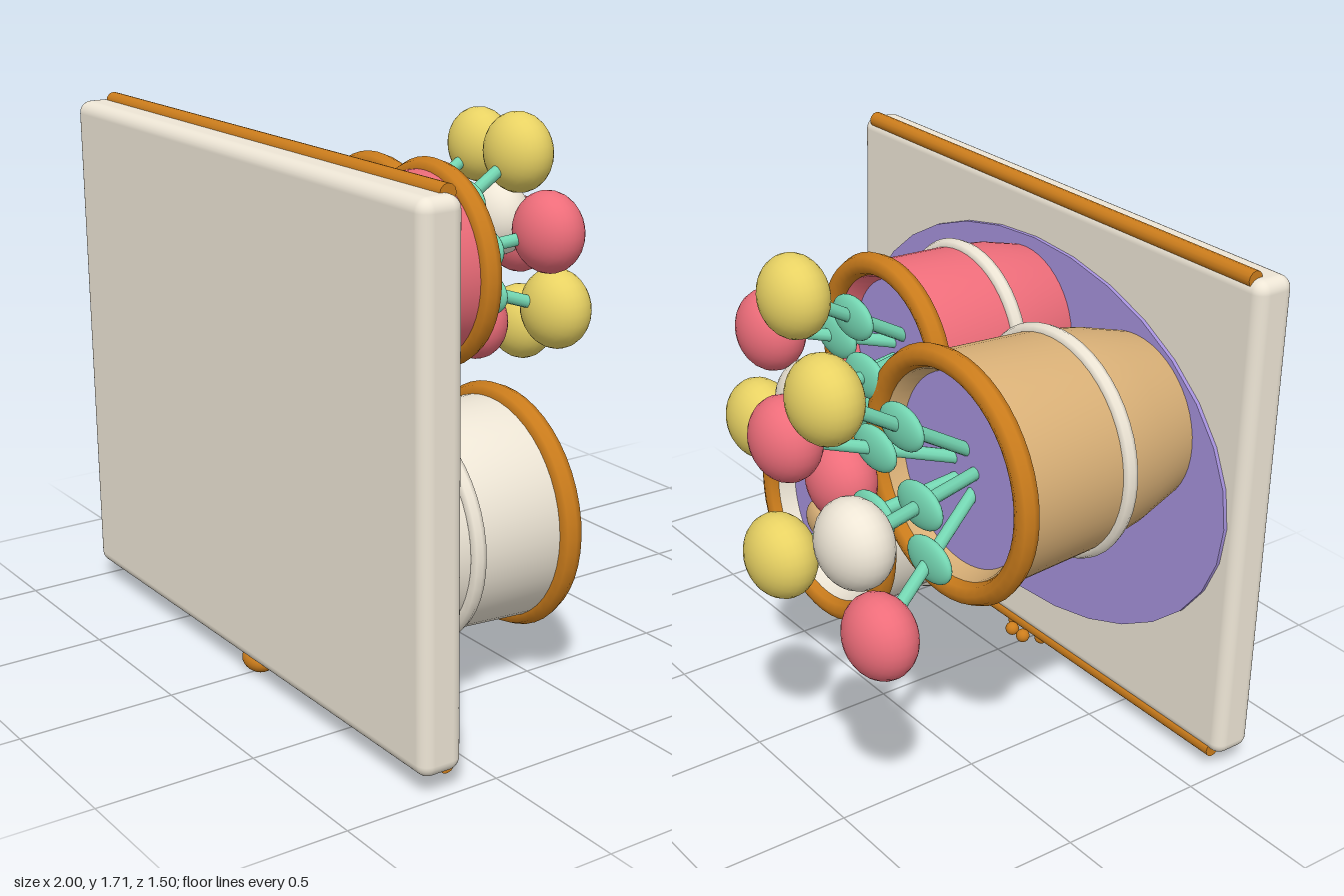
import * as THREE from 'three';
import { RoundedBoxGeometry } from 'three/addons/geometries/RoundedBoxGeometry.js';

const mat = (color, side = THREE.FrontSide) => new THREE.MeshStandardMaterial({ color, side });
const CREAM = 0xeee6d6, GOLD = 0xcc7d1c, TAN = 0xd9b077, PINK = 0xee6d7a;
const PURPLE = 0xa692dc, GREEN = 0x74d6b2, YELLOW = 0xe8d263;

function add(parent, name, geometry, color, pos = [0, 0, 0], side) {
  const mesh = new THREE.Mesh(geometry, mat(color, side));
  mesh.name = name;
  mesh.position.set(...pos);
  parent.add(mesh);
  return mesh;
}

function ellipsoid(parent, name, radii, color, pos) {
  add(parent, name, new THREE.SphereGeometry(1, 24, 16), color, pos).scale.set(...radii);
}

function ring(parent, name, radius, tube, color, height) {
  add(parent, name, new THREE.TorusGeometry(radius, tube, 8, 48).rotateX(Math.PI / 2), color, [0, height, 0]);
}

// Cylinder running from one point to another
function stem(parent, from, to) {
  const a = new THREE.Vector3(...from), b = new THREE.Vector3(...to);
  const dir = b.clone().sub(a);
  const mesh = add(parent, 'stem', new THREE.CylinderGeometry(0.021, 0.021, dir.length(), 10), GREEN,
    a.clone().add(b).multiplyScalar(0.5).toArray());
  mesh.quaternion.setFromUnitVectors(new THREE.Vector3(0, 1, 0), dir.normalize());
}

// A pot built upright along its own y, then tipped so that it stands out from the back of the panel
function makePot({ name, color, x, y, base, waist, waistHeight, top, height, flowers = [] }) {
  const pot = new THREE.Group();
  pot.name = name;
  pot.position.set(x, y, 0.605);
  pot.rotation.x = -Math.PI / 2;

  const soilHeight = height - 0.055;
  const profile = [
    [base, 0], [(base + waist) / 2 + 0.01, waistHeight / 2], [waist, waistHeight],
    [top, height], [top - 0.045, height], [top - 0.07, soilHeight - 0.02],
  ].map(([r, h]) => new THREE.Vector2(r, h));
  add(pot, 'potBody', new THREE.LatheGeometry(profile, 48), color, [0, 0, 0], THREE.DoubleSide);
  ring(pot, 'potRim', top - 0.003, 0.037, GOLD, height);
  ring(pot, 'potBand', waist, 0.025, CREAM, waistHeight);
  add(pot, 'soil', new THREE.CylinderGeometry(top - 0.063, top - 0.063, 0.03, 40), PURPLE, [0, soilHeight - 0.015, 0]);

  // Flowers fan out from the middle of the soil: [dx, height, dy, colour]
  for (const [dx, h, dy, petal] of flowers) {
    const root = [dx * 0.15, soilHeight - 0.03, dy * 0.15];
    const head = [dx, h, dy];
    stem(pot, root, head);
    ellipsoid(pot, 'leaf', [0.105, 0.028, 0.07], GREEN, root.map((v, i) => v + (head[i] - v) * 0.5));
    ellipsoid(pot, 'flowerHead', [0.133, 0.104, 0.133], petal, head);
  }
  return pot;
}

export function createModel() {
  const model = new THREE.Group();
  model.name = 'flowerPotPanel';

  // Panel with its oval backing and edge rods
  add(model, 'panel', new RoundedBoxGeometry(2, 1.63, 0.14, 4, 0.04), CREAM, [0, 0.875, 0.68]);
  const oval = add(model, 'ovalBacking', new THREE.CylinderGeometry(1, 1, 0.02, 32).rotateX(Math.PI / 2),
    PURPLE, [0, 0.88, 0.607]);
  oval.scale.set(0.95, 0.655, 1);
  for (const y of [0.063, 1.687]) {
    add(model, 'edgeRod', new THREE.CylinderGeometry(0.027, 0.027, 1.9, 12).rotateZ(Math.PI / 2), GOLD, [0, y, 0.635]);
  }

  // Pad with four toes under the lower edge
  ellipsoid(model, 'pawPad', [0.065, 0.04, 0.046], GOLD, [0, 0.04, 0.688]);
  for (const side of [-1, 1]) {
    ellipsoid(model, 'pawToe', [0.024, 0.024, 0.024], GOLD, [side * 0.075, 0.042, 0.635]);
    ellipsoid(model, 'pawToe', [0.024, 0.024, 0.024], GOLD, [side * 0.03, 0.042, 0.587]);
  }

  // Three pots, two of them planted
  model.add(makePot({
    name: 'largePot', color: TAN, x: -0.51, y: 1.095, base: 0.275, waist: 0.35, waistHeight: 0.325, top: 0.371, height: 0.725,
    flowers: [
      [-0.275, 1.25, 0.063, CREAM], [-0.03, 1.18, 0.38, YELLOW], [0.205, 1.19, -0.215, YELLOW],
      [0.275, 1.12, 0.122, PINK], [-0.195, 1.11, -0.322, PINK],
    ],
  }));
  model.add(makePot({
    name: 'smallPot', color: PINK, x: 0.04, y: 1.245, base: 0.245, waist: 0.29, waistHeight: 0.255, top: 0.301, height: 0.568,
    flowers: [
      [-0.25, 1.005, 0.05, CREAM], [-0.05, 0.94, 0.305, YELLOW], [0.15, 0.945, -0.175, YELLOW],
      [0.2, 0.87, 0.095, PINK], [-0.185, 0.865, -0.275, PINK],
    ],
  }));
  const seedPot = makePot({
    name: 'seedPot', color: CREAM, x: 0.37, y: 0.534, base: 0.27, waist: 0.337, waistHeight: 0.255, top: 0.355, height: 0.583,
  });
  for (const [dx, dy] of [[0, 0.05], [0.1, -0.075], [-0.1, -0.075]]) {
    ellipsoid(seedPot, 'seed', [0.07, 0.04, 0.07], TAN, [dx, 0.545, dy]);
  }
  model.add(seedPot);

  return model;
}
